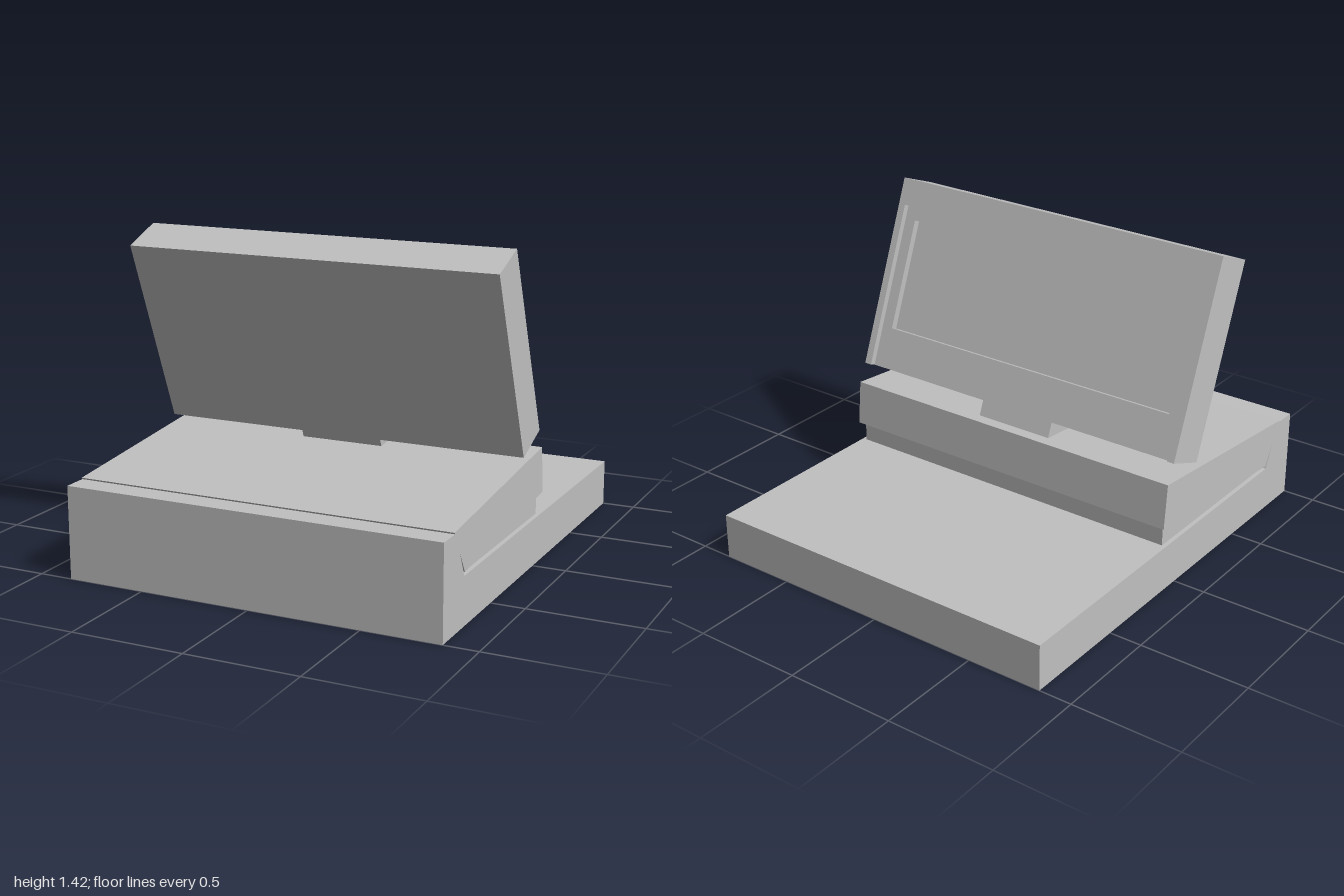
import * as THREE from 'three';

const W = 1.7; // overall width

export function createModel() {
  const model = new THREE.Group();
  const grey = new THREE.MeshStandardMaterial({ color: 0xc0c0c0 });
  grey.name = 'plainGrey';

  const add = (parent, name, geometry) => {
    const mesh = new THREE.Mesh(geometry, grey);
    mesh.name = name;
    parent.add(mesh);
    return mesh;
  };
  const outline = (points) => new THREE.Shape(points.map(([x, y]) => new THREE.Vector2(x, y)));
  // Side profile given as [z, y], extruded across the width
  const sideProfile = (points, width) =>
    new THREE.ExtrudeGeometry(outline(points), { depth: width, bevelEnabled: false })
      .translate(0, 0, -width / 2)
      .rotateY(-Math.PI / 2);

  // Base with a raised front block whose rear face slopes
  add(model, 'base', sideProfile(
    [[-1, 0], [1, 0], [1, 0.41], [0.88, 0.41], [0.79, 0.21], [-1, 0.21]], W));

  // Inset plinth under the tilted deck
  add(model, 'plinth', sideProfile(
    [[-0.08, 0.205], [0.8, 0.205], [0.8, 0.25], [-0.08, 0.33]], W - 0.04));

  // Tilted deck
  add(model, 'deck', sideProfile(
    [[-0.105, 0.305], [0.785, 0.225], [0.895, 0.417], [-0.085, 0.51]], W));

  // Leaning display: local y runs up the panel, local z runs from screen side to shell side
  const display = new THREE.Group();
  display.name = 'display';
  display.position.set(0, 0.595, -0.045);
  display.rotation.x = THREE.MathUtils.degToRad(21.5);
  model.add(display);

  const H = 0.887, half = W / 2;
  const layer = (name, shape, z0, z1) =>
    add(display, name, new THREE.ExtrudeGeometry(shape, { depth: z1 - z0, bevelEnabled: false })
      .translate(0, 0, z0));
  const rect = (x, y0, y1) => [[-x, y0], [x, y0], [x, y1], [-x, y1]];

  // Raised rim, open along the bottom
  layer('displayRim', outline([
    [-half, 0], [-0.815, 0], [-0.815, 0.765], [0.815, 0.765],
    [0.815, 0], [half, 0], [half, H], [-half, H]]), 0, 0.028);

  // Bezel with the screen opening
  const bezel = outline(rect(half, 0, H));
  bezel.holes.push(new THREE.Path(outline(rect(0.76, 0.19, 0.705)).getPoints()));
  layer('displayBezel', bezel, 0.028, 0.06);

  // Solid shell carrying the recessed screen
  layer('displayShell', outline(rect(half, 0, H)), 0.06, 0.203);

  // Hinge block between display and deck
  layer('hinge', outline(rect(0.19, -0.11, 0)), 0.055, 0.203);

  return model;
}
